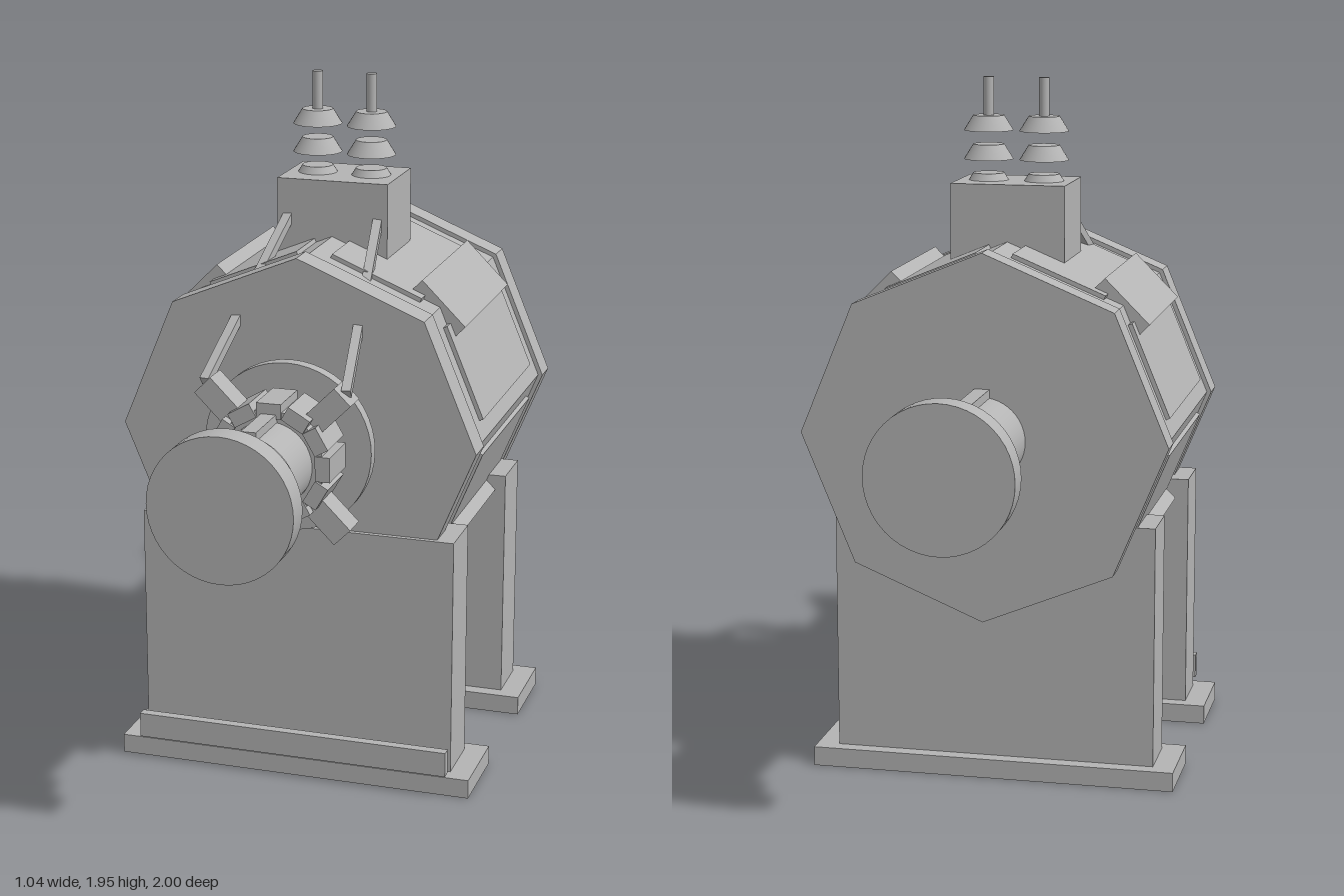
import * as THREE from 'three';

export function createModel() {
  const model = new THREE.Group();
  const steel = new THREE.MeshStandardMaterial({ color: 0xb4b4b4 });
  steel.name = 'grey steel';
  const AXIS = 1; // height of the shaft centre line

  const add = (name, geometry, x, y, z, parent = model) => {
    const mesh = new THREE.Mesh(geometry, steel);
    mesh.name = name;
    mesh.position.set(x, y, z);
    parent.add(mesh);
    return mesh;
  };
  // box given by its extents
  const box = (name, x0, x1, y0, y1, z0, z1, parent) =>
    add(name, new THREE.BoxGeometry(x1 - x0, y1 - y0, z1 - z0),
      (x0 + x1) / 2, (y0 + y1) / 2, (z0 + z1) / 2, parent);
  // round or faceted disc along the shaft axis
  const disc = (name, r, z0, z1, sides = 48) => {
    let g = new THREE.CylinderGeometry(r, r, Math.abs(z1 - z0), sides).rotateX(Math.PI / 2);
    if (sides < 16) {
      g = g.toNonIndexed();
      g.computeVertexNormals();
    }
    return add(name, g, 0, AXIS, (z0 + z1) / 2);
  };
  // box placed radially around the shaft, between radii r0 and r1
  const radialBox = (name, angle, r0, r1, width, z0, z1) => {
    const pivot = new THREE.Group();
    pivot.name = name;
    pivot.position.y = AXIS;
    pivot.rotation.z = angle;
    box(name, r0, r1, -width / 2, width / 2, z0, z1, pivot);
    model.add(pivot);
  };

  // octagonal housing with thicker end plates
  disc('housing', 0.5, -0.46, 0.3, 8);
  disc('frontEndPlate', 0.513, 0.28, 0.365, 8);
  disc('rearEndPlate', 0.513, -0.515, -0.437, 8);
  const apothem = 0.5 * Math.cos(Math.PI / 8);
  for (let i = 0; i < 8; i++) {
    radialBox('sidePanel', (i + 0.5) * Math.PI / 4, apothem - 0.02, apothem + 0.012, 0.28, -0.365, 0.205);
  }
  // covers over the four diagonal corners, and the brushes at the same angles
  for (let i = 0; i < 4; i++) {
    const angle = (i + 0.5) * Math.PI / 2;
    radialBox('cornerCover', angle, 0.475, 0.515, 0.177, -0.328, 0.168);
    radialBox('brush', angle, 0.16, 0.28, 0.065, 0.5, 0.58);
  }

  // shaft, key, and a coupling at each end
  disc('shaft', 0.12, -0.85, 0.85);
  box('shaftKey', -0.021, 0.021, AXIS + 0.08, AXIS + 0.142, -0.775, 0.77);
  for (const s of [1, -1]) {
    disc('couplingCollar', 0.155, s * 0.83, s * 0.93);
    disc('couplingFlange', 0.2, s * 0.927, s);
    for (const x of [-0.107, 0.107]) {
      for (const y of [-0.107, 0.107]) {
        add('couplingBolt', new THREE.CylinderGeometry(0.012, 0.012, 0.03, 12).rotateX(Math.PI / 2),
          x, AXIS + y, s * 0.915);
      }
    }
  }

  // commutator and brush ring
  disc('brushRing', 0.24, 0.41, 0.447);
  disc('commutatorHub', 0.135, 0.44, 0.475);
  disc('commutatorCore', 0.152, 0.47, 0.6);
  for (let i = 0; i < 12; i++) {
    radialBox('commutatorSegment', i * Math.PI / 6, 0.13, 0.172, 0.07, 0.465, 0.608);
  }

  // terminal box with two insulators
  box('terminalBox', -0.163, 0.163, 1.42, 1.66, -0.2, 0.04);
  for (const x of [-0.08, 0.08]) {
    for (let i = 0; i < 3; i++) {
      add('insulatorSkirt', new THREE.CylinderGeometry(0.044, 0.07, 0.042, 32), x, 1.659 + i * 0.081, -0.08);
    }
    add('terminalRod', new THREE.CylinderGeometry(0.015, 0.015, 0.11, 20), x, 1.895, -0.08);
  }

  // straight leads from the terminal box to the upper brushes
  for (const s of [-1, 1]) {
    const from = new THREE.Vector3(s * 0.13, 1.56, 0.015);
    const to = new THREE.Vector3(s * 0.2, 1.2, 0.55);
    const mid = from.clone().add(to).multiplyScalar(0.5);
    const lead = add('lead', new THREE.BoxGeometry(0.026, 0.026, from.distanceTo(to)), mid.x, mid.y, mid.z);
    lead.lookAt(to);
  }

  // pedestals with foot plates
  for (const z of [0.3, -0.3]) {
    box('pedestal', -0.457, 0.457, 0.04, 0.743, z - 0.079, z + 0.079);
    box('footPlate', -0.52, 0.52, 0, 0.055, z - 0.12, z + 0.12);
  }
  box('frontRail', -0.458, 0.458, 0.068, 0.14, 0.415, 0.443);

  return model;
}
